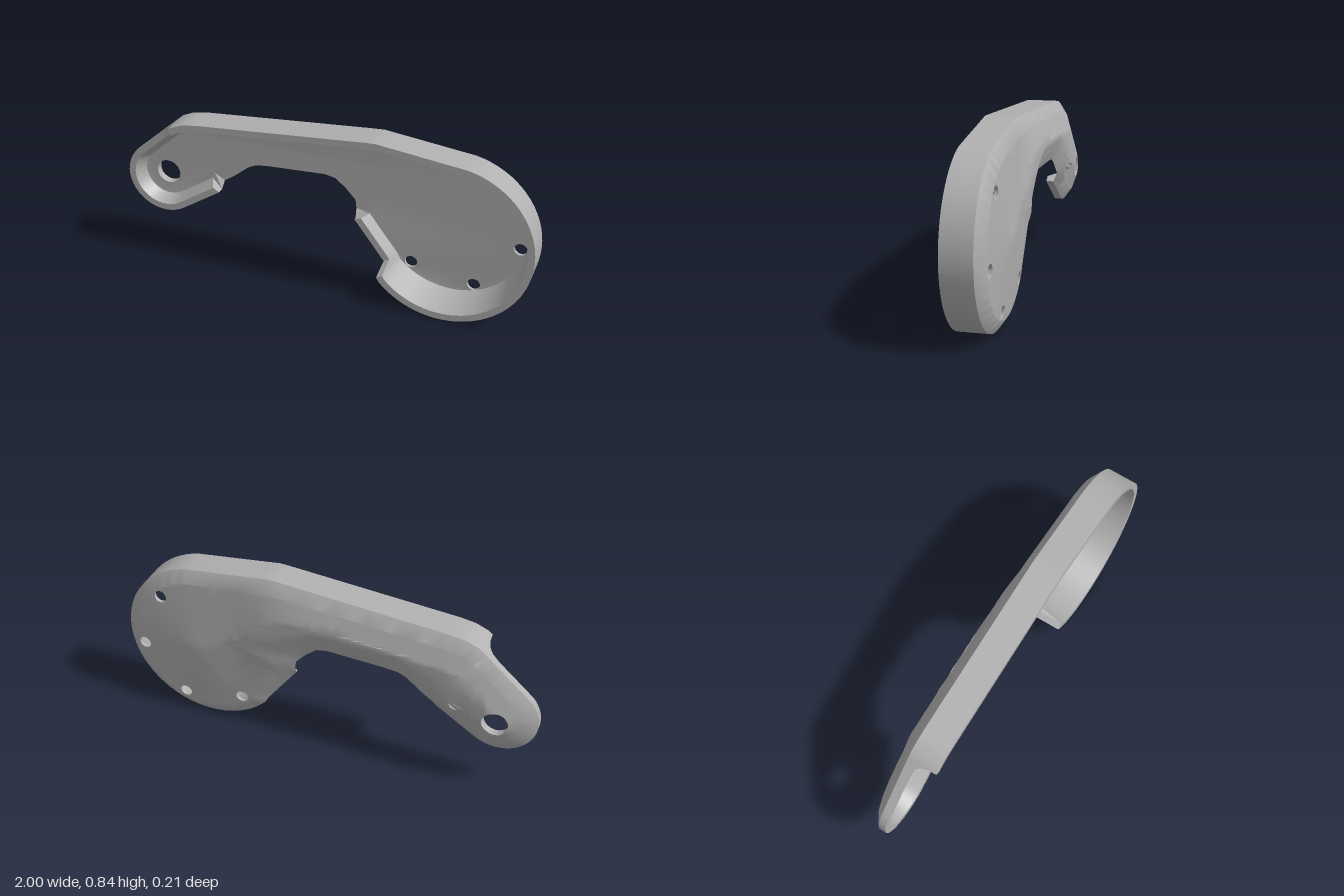
import * as THREE from 'three';
import { mergeGeometries, toCreasedNormals } from 'three/addons/utils/BufferGeometryUtils.js';

const FLOOR = -0.06, EDGE = -0.035, PEAK = -0.105, BEVEL = 0.055;
const FULL = 0.105, LOW = 0, TAB = -0.02;

// Outline, counter-clockwise: [x, y, front height of the rim]; null = no rim
function makeOutline() {
  const pts = [[0.13, 0.44, null], [0.14, 0.36, TAB], [0.285, 0.165, TAB], [0.29, 0.155, FULL]];
  const arc = (cx, cy, r, from, to, n, h) => {
    for (let i = 0; i <= n; i++) {
      const a = THREE.MathUtils.degToRad(from + (to - from) * i / n);
      pts.push([cx + r * Math.cos(a), cy + r * Math.sin(a), h]);
    }
  };
  arc(0.6, 0.4, 0.4, 222, 438, 44, FULL);
  pts.push([0.32, 0.834, FULL], [0.27, 0.84, FULL], [0.22, 0.837, FULL],
    [-0.58, 0.771, FULL], [-0.65, 0.76, FULL], [-0.71, 0.735, FULL]);
  // concave step down to the low rim
  for (const [x, h] of [[-0.727, FULL], [-0.73, 0.06], [-0.738, 0.03], [-0.757, 0.008], [-0.79, LOW]])
    pts.push([x, 0.735 + 0.883 * (x + 0.71), h]);
  arc(-0.82, 0.4, 0.18, 140, 305, 18, LOW);
  pts.push([-0.53, 0.375, LOW], [-0.525, 0.41, null], [-0.48, 0.44, null], [-0.4, 0.505, null],
    [-0.36, 0.524, null], [-0.3, 0.531, null], [-0.02, 0.545, null], [0.03, 0.535, null], [0.08, 0.495, null]);
  // split long straight runs
  const out = [];
  pts.forEach((p, i) => {
    const q = pts[(i + 1) % pts.length];
    const n = Math.max(1, Math.ceil(Math.hypot(q[0] - p[0], q[1] - p[1]) / 0.055));
    for (let k = 0; k < n; k++) {
      const t = k / n;
      const open = p[2] === null || q[2] === null;
      out.push({
        x: p[0] + (q[0] - p[0]) * t, y: p[1] + (q[1] - p[1]) * t,
        h: k === 0 ? p[2] : open ? null : p[2] + (q[2] - p[2]) * t,
      });
    }
  });
  return out;
}

const outline = makeOutline();
const N = outline.length;
const isOpen = (p) => (p.h === null ? 1 : 0);

// Mitred inward normal at every outline point
outline.forEach((p, i) => {
  const a = outline[(i + N - 1) % N], b = outline[(i + 1) % N];
  const d1 = new THREE.Vector2(p.x - a.x, p.y - a.y).normalize();
  const d2 = new THREE.Vector2(b.x - p.x, b.y - p.y).normalize();
  const m = new THREE.Vector2(-d1.y - d2.y, d1.x + d2.x).normalize();
  const k = 1 / Math.max(0.7, m.x * -d1.y + m.y * d1.x);
  p.nx = m.x * k;
  p.ny = m.y * k;
});
const inset = (p, d) => [p.x + p.nx * d, p.y + p.ny * d];

// Height of the domed back: a bevel at the edge, then a gentle rise
function backZ(x, y) {
  let best = Infinity, open = 0;
  for (let i = 0; i < N; i++) {
    const a = outline[i], b = outline[(i + 1) % N];
    const dx = b.x - a.x, dy = b.y - a.y;
    const t = THREE.MathUtils.clamp(((x - a.x) * dx + (y - a.y) * dy) / (dx * dx + dy * dy), 0, 1);
    const d = Math.hypot(x - a.x - dx * t, y - a.y - dy * t);
    if (d < best) {
      best = d;
      open = isOpen(a) * (1 - t) + isOpen(b) * t;
    }
  }
  const d = best + 0.036 * open;
  if (d < BEVEL) return EDGE - (d / BEVEL) * 0.038;
  const slope = THREE.MathUtils.lerp(0.36, 0.09, THREE.MathUtils.smoothstep(x, 0.05, 0.45));
  return Math.max(PEAK, EDGE - 0.038 - (d - BEVEL) * slope);
}

function fromTriangles(pos) {
  const g = new THREE.BufferGeometry();
  g.setAttribute('position', new THREE.Float32BufferAttribute(pos, 3));
  return g;
}

// Skin rows of equal length
function loft(rows, closed) {
  const pos = [];
  const last = closed ? rows.length : rows.length - 1;
  for (let i = 0; i < last; i++) {
    const a = rows[i], b = rows[(i + 1) % rows.length];
    for (let j = 0; j < a.length - 1; j++)
      pos.push(...a[j], ...b[j], ...b[j + 1], ...a[j], ...b[j + 1], ...a[j + 1]);
  }
  return fromTriangles(pos);
}

const holes = [[-0.82, 0.4, 0.06], [0.8, 0.635, 0.03], [0.905, 0.345, 0.03], [0.705, 0.11, 0.03], [0.405, 0.165, 0.03]];
const circle = ([cx, cy, r]) => Array.from({ length: 24 }, (_, i) => {
  const a = i / 24 * Math.PI * 2;
  return new THREE.Vector2(cx + r * Math.cos(a), cy + r * Math.sin(a));
});

// Plate with holes, in 2D triangles
function plateTriangles() {
  const contour = outline.map((p) => new THREE.Vector2(...inset(p, BEVEL)));
  const rings = holes.map((h) => circle(h).reverse());
  const all = [contour, ...rings].flat();
  return THREE.ShapeUtils.triangulateShape(contour, rings).map((f) => f.map((i) => all[i]));
}

// Halve the longest side until triangles are small
function split(a, b, c, out) {
  const ab = a.distanceTo(b), bc = b.distanceTo(c), ca = c.distanceTo(a);
  const m = Math.max(ab, bc, ca);
  if (m < 0.06) out.push([a, b, c]);
  else if (m === bc) split(b, c, a, out);
  else if (m === ca) split(c, a, b, out);
  else {
    const h = a.clone().add(b).multiplyScalar(0.5);
    split(a, h, c, out);
    split(h, b, c, out);
  }
}

export function createModel() {
  const group = new THREE.Group();
  const grey = new THREE.MeshStandardMaterial({ color: 0xb0b0b0, side: THREE.DoubleSide });
  grey.name = 'cast grey';
  const add = (name, geo, crease = 0.5) => {
    const mesh = new THREE.Mesh(toCreasedNormals(geo, crease), grey);
    mesh.name = name;
    group.add(mesh);
  };
  const plate = plateTriangles();
  const edgeZ = (p) => (isOpen(p) ? FLOOR : EDGE);

  // Domed back with bevelled edge
  const small = [];
  plate.forEach((t) => split(...t, small));
  const dome = small.flatMap(([a, b, c]) => [a, c, b].flatMap((v) => [v.x, v.y, backZ(v.x, v.y)]));
  const bevel = outline.map((p) => {
    const [x, y] = inset(p, BEVEL);
    return [[x, y, backZ(x, y)], [p.x, p.y, edgeZ(p)]];
  });
  add('domedBack', mergeGeometries([fromTriangles(dome), loft(bevel, true)]), 0.7);

  // Flat inner floor, reaching the edge where there is no rim
  const flat = plate.flatMap((t) => t.flatMap((v) => [v.x, v.y, FLOOR]));
  const lip = outline.map((p) => [[p.x, p.y, edgeZ(p)], [...inset(p, BEVEL), FLOOR]]);
  add('innerFloor', mergeGeometries([fromTriangles(flat), loft(lip, true)]));

  // Rim: outer wall, front face and sloping inner wall
  const rimRows = outline.filter((p) => p.h !== null).map((p) => [
    [p.x, p.y, EDGE], [p.x, p.y, p.h], [...inset(p, 0.032), p.h], [...inset(p, 0.062), FLOOR],
  ]);
  add('rim', loft(rimRows, false));

  // Cut ends of the rim
  const first = rimRows[0], end = rimRows[rimRows.length - 1];
  add('rimEnds', fromTriangles([
    first[0], first[1], first[2], first[0], first[2], first[3],
    end[0], end[2], end[1], end[0], end[3], end[2],
  ].flat()));

  // Bolt hole walls
  holes.forEach((h) => {
    const rows = circle(h).map((v) => [[v.x, v.y, FLOOR], [v.x, v.y, backZ(v.x, v.y)]]);
    add('boltHole', loft(rows, true));
  });
  return group;
}
